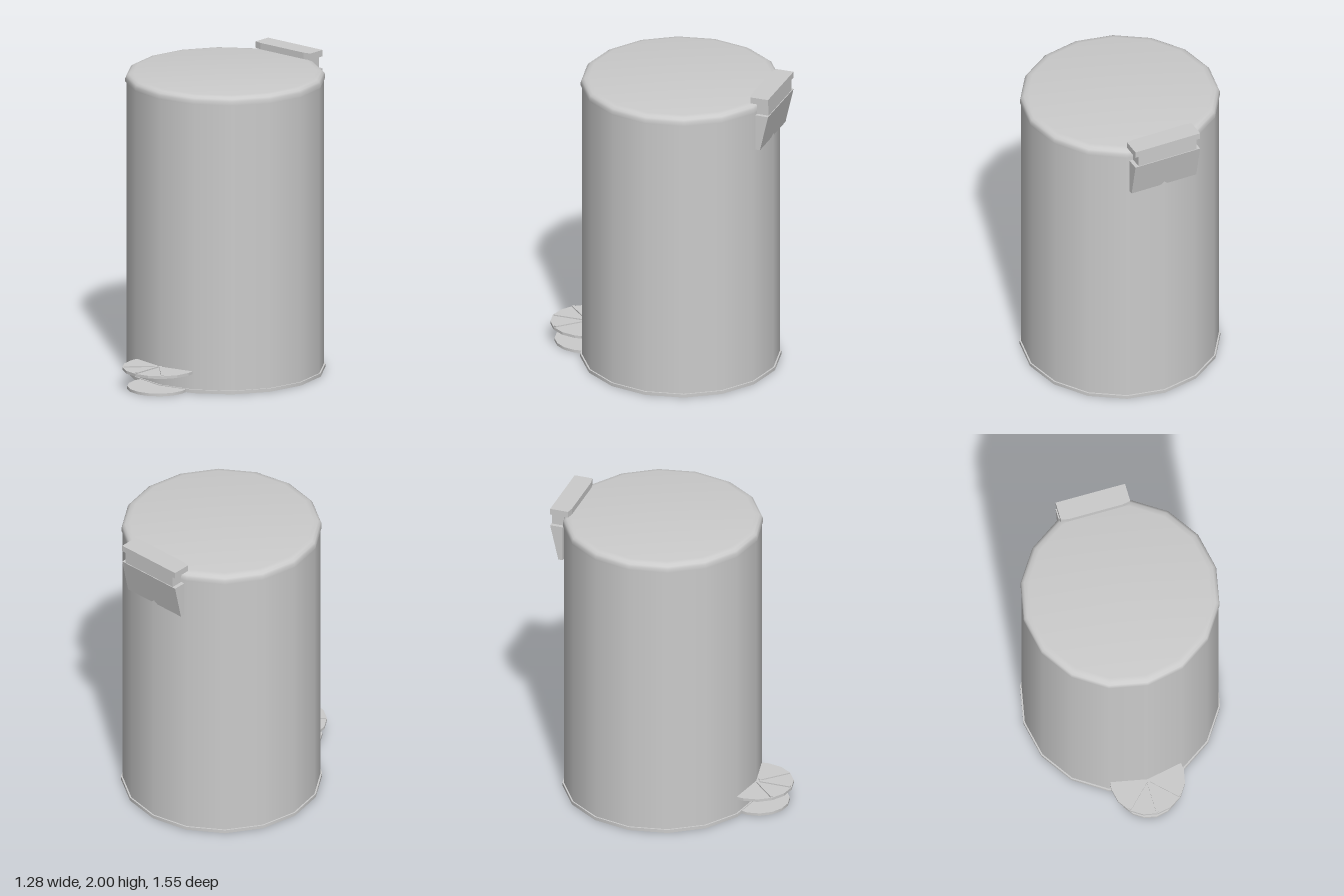
import * as THREE from 'three';
import { toCreasedNormals } from 'three/addons/utils/BufferGeometryUtils.js';

const SIDES = 16;
const BODY_Z = -0.095;

export function createModel() {
  const bin = new THREE.Group();
  bin.name = 'pedalBin';
  const material = new THREE.MeshStandardMaterial({ color: 0xcccccc });

  const add = (name, geometry, x = 0, y = 0, z = 0, parent = bin) => {
    const mesh = new THREE.Mesh(geometry, material);
    mesh.name = name;
    mesh.position.set(x, y, z);
    parent.add(mesh);
    return mesh;
  };
  // Upright disc or drum resting on height y
  const drum = (name, radius, height, y, z, parent) =>
    add(name, new THREE.CylinderGeometry(radius, radius, height, SIDES), 0, y + height / 2, z, parent);
  // Side profile given as [z, y] points, extruded across x
  const acrossX = (points, width) => {
    const shape = new THREE.Shape(points.map(([z, y]) => new THREE.Vector2(-z, y)));
    return new THREE.ExtrudeGeometry(shape, { depth: width, bevelEnabled: false })
      .translate(0, 0, -width / 2).rotateY(Math.PI / 2);
  };

  // Base, body and round-edged lid
  drum('baseRim', 0.64, 0.022, 0, BODY_Z);
  drum('body', 0.63, 1.885, 0.02, BODY_Z);
  const lidProfile = [
    [0, 1.9], [0.637, 1.9], [0.637, 1.925], [0.63, 1.94], [0.614, 1.951], [0.585, 1.956], [0, 1.956],
  ].map(([r, y]) => new THREE.Vector2(r, y));
  add('lid', toCreasedNormals(new THREE.LatheGeometry(lidProfile, SIDES), 0.75), 0, 0, BODY_Z);

  // Foot disc under the pedal
  drum('foot', 0.2, 0.018, 0, 0.55);

  // Pedal: a rounded plate cut straight at the back, with three raised ribs
  const pedal = new THREE.Group();
  pedal.name = 'pedal';
  bin.add(pedal);
  const outline = new THREE.Shape();
  outline.moveTo(-0.235, 0.045);
  for (let i = 0; i <= 8; i++) {
    const a = Math.PI + (i * Math.PI) / 8;
    outline.lineTo(0.24 * Math.cos(a), 0.24 * Math.sin(a));
  }
  outline.lineTo(0.235, 0.045);
  const plate = new THREE.ExtrudeGeometry(outline, { depth: 0.018, bevelEnabled: false }).rotateX(-Math.PI / 2);
  add('pedalPlate', plate, 0, 0.122, 0.535, pedal);
  for (const angle of [-Math.PI / 4, 0, Math.PI / 4]) {
    const rib = new THREE.BoxGeometry(0.018, 0.012, 0.212).translate(0, 0, 0.127);
    add('pedalRib', rib, 0, 0.142, 0.535, pedal).rotation.y = angle;
  }

  // Hinge at the back: cap over the lid, narrower neck and tapered bracket
  const hinge = new THREE.Group();
  hinge.name = 'hinge';
  bin.add(hinge);
  const cap = new THREE.Shape([
    [-0.23, 0.775], [-0.23, 0.655], [-0.18, 0.645], [0.18, 0.645], [0.23, 0.655], [0.23, 0.775],
  ].map(([x, y]) => new THREE.Vector2(x, y)));
  add('hingeCap', new THREE.ExtrudeGeometry(cap, { depth: 0.042, bevelEnabled: false }).rotateX(-Math.PI / 2),
    0, 1.958, 0, hinge);
  add('hingeNeck', new THREE.BoxGeometry(0.41, 0.085, 0.08), 0, 1.92, -0.73, hinge);
  add('hingeBracket', acrossX([[-0.69, 1.88], [-0.69, 1.64], [-0.72, 1.64], [-0.775, 1.88]], 0.46), 0, 0, 0, hinge);

  return bin;
}
